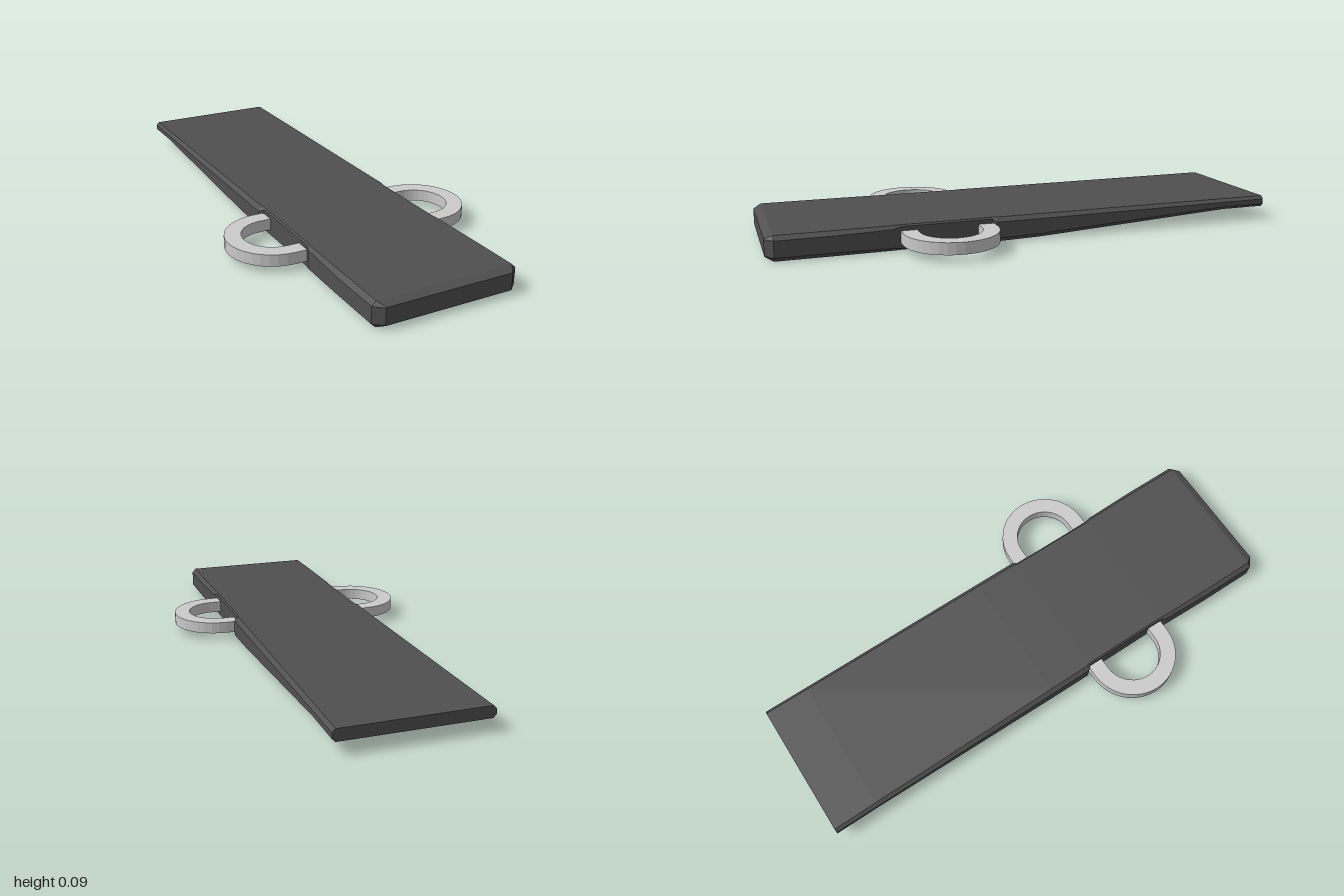
import * as THREE from 'three';

const dark = new THREE.MeshStandardMaterial({ color: 0x505050, flatShading: true });
const grey = new THREE.MeshStandardMaterial({ color: 0xcccccc, flatShading: true });

// Chamfered rectangle, counter-clockwise seen from the front
function section([z, w, y0, y1, c]) {
  return [
    [w, y0 + c], [w, y1 - c], [w - c, y1], [c - w, y1],
    [-w, y1 - c], [-w, y0 + c], [c - w, y0], [w - c, y0],
  ].map(([x, y]) => [x, y, z]);
}

// Skin over cross-sections running from back to front, with flat end caps
function loft(stations) {
  const n = 8, last = (stations.length - 1) * n, index = [];
  for (let i = 0; i < stations.length - 1; i++) {
    for (let j = 0; j < n; j++) {
      const a = i * n + j, b = i * n + (j + 1) % n;
      index.push(a, b, b + n, a, b + n, a + n);
    }
  }
  for (let j = 1; j < n - 1; j++) {
    index.push(0, j + 1, j, last, last + j, last + j + 1);
  }
  const geometry = new THREE.BufferGeometry();
  geometry.setAttribute('position',
    new THREE.Float32BufferAttribute(stations.flatMap(section).flat(), 3));
  geometry.setIndex(index);
  geometry.computeVertexNormals();
  return geometry;
}

// D-shaped loop: straight legs and a half-circle, lying flat
function loopGeometry() {
  const outer = 0.178, inner = 0.116, root = 0.25, bend = 0.31;
  const shape = new THREE.Shape();
  shape.moveTo(root, -outer);
  shape.lineTo(bend, -outer);
  shape.absarc(bend, 0, outer, -Math.PI / 2, Math.PI / 2, false);
  shape.lineTo(root, outer);
  shape.lineTo(root, inner);
  shape.lineTo(bend, inner);
  shape.absarc(bend, 0, inner, Math.PI / 2, -Math.PI / 2, true);
  shape.lineTo(root, -inner);
  shape.closePath();
  const geometry = new THREE.ExtrudeGeometry(shape,
    { depth: 0.045, bevelEnabled: false, curveSegments: 9 });
  return geometry.rotateX(-Math.PI / 2);
}

export function createModel() {
  const group = new THREE.Group();

  // Tapered plate with shallow side notches: z, half width, bottom, top, chamfer
  const plate = new THREE.Mesh(loft([
    [-1, 0.28, 0.05, 0.094, 0.012],
    [-0.82, 0.28, 0.05, 0.094, 0.013],
    [-0.02, 0.28, 0.004, 0.094, 0.016],
    [0.155, 0.28, 0, 0.094, 0.016],
    [0.17, 0.265, 0, 0.094, 0.006],
    [0.515, 0.265, 0, 0.094, 0.006],
    [0.545, 0.274, 0, 0.094, 0.012],
    [0.75, 0.28, 0, 0.094, 0.016],
    [0.97, 0.28, 0, 0.094, 0.016],
    [1, 0.246, 0.015, 0.08, 0.002],
  ]), dark);
  plate.name = 'plate';
  group.add(plate);

  // Matching loops on both sides
  for (const [name, turn] of [['leftLoop', 0], ['rightLoop', Math.PI]]) {
    const loop = new THREE.Mesh(loopGeometry(), grey);
    loop.name = name;
    loop.position.set(0, 0.027, 0.342);
    loop.rotation.y = turn;
    group.add(loop);
  }
  return group;
}
